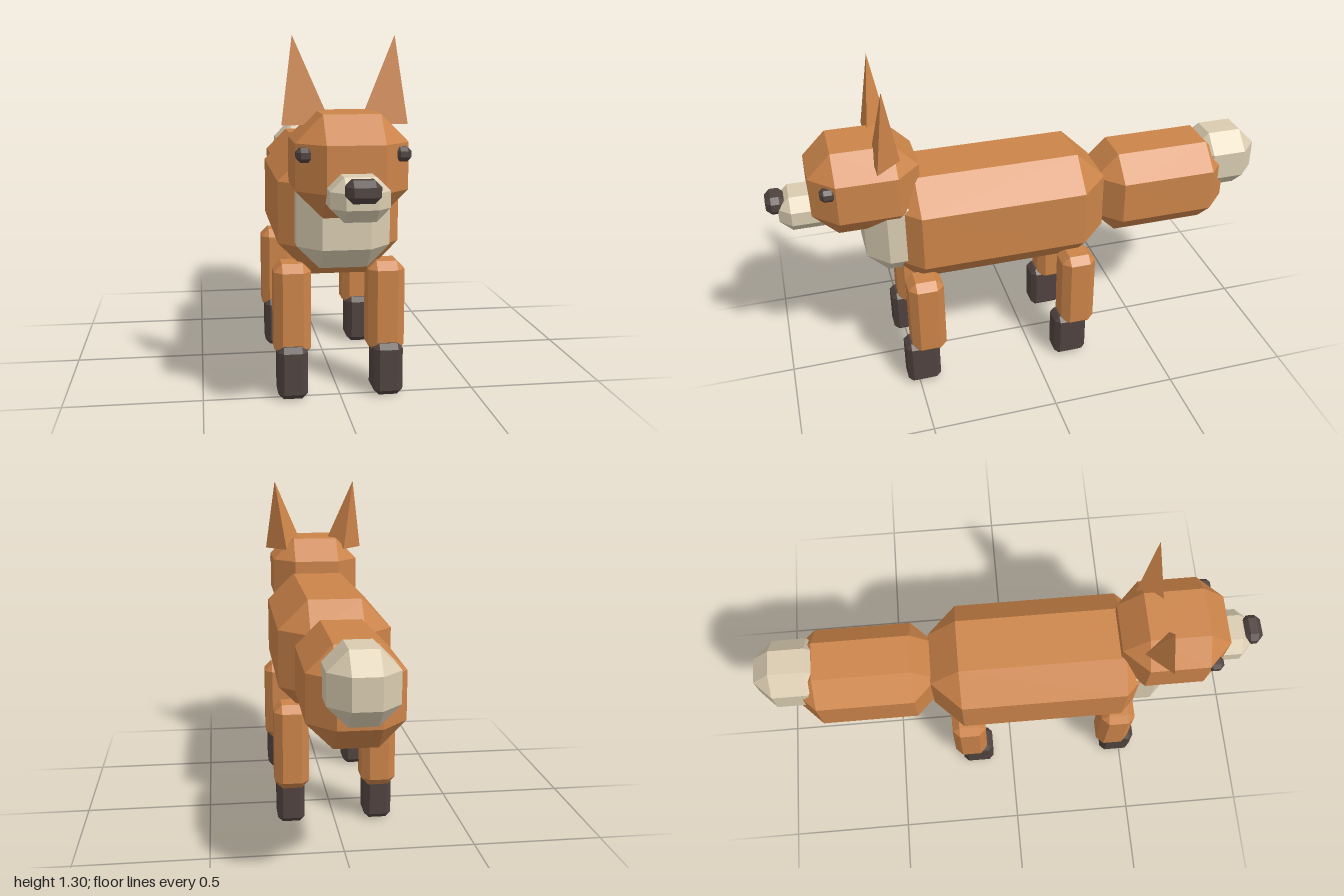
import * as THREE from 'three';
import { ConvexGeometry } from 'three/addons/geometries/ConvexGeometry.js';

const material = (name, color) => {
  const m = new THREE.MeshStandardMaterial({ color });
  m.name = name;
  return m;
};

// Box with every edge cut at 45 degrees, given by its extents [min, max] on each axis
function chamferBox([x0, x1], [y0, y1], [z0, z1], c) {
  const half = [(x1 - x0) / 2, (y1 - y0) / 2, (z1 - z0) / 2];
  const points = [];
  for (const sx of [-1, 1]) for (const sy of [-1, 1]) for (const sz of [-1, 1]) {
    for (let axis = 0; axis < 3; axis++) {
      const p = half.map((h, i) => (i === axis ? h : h - c));
      points.push(new THREE.Vector3(sx * p[0], sy * p[1], sz * p[2]));
    }
  }
  const geometry = new ConvexGeometry(points);
  geometry.translate((x0 + x1) / 2, (y0 + y1) / 2, (z0 + z1) / 2);
  return geometry;
}

export function createModel() {
  const group = new THREE.Group();
  const fur = material('orange fur', 0xcc8449);
  const cream = material('cream fur', 0xd9cbb0);
  const dark = material('dark brown', 0x50433f);

  const add = (name, geometry, mat) => {
    const mesh = new THREE.Mesh(geometry, mat);
    mesh.name = name;
    group.add(mesh);
  };
  const box = (name, mat, x, y, z, c) => add(name, chamferBox(x, y, z, c), mat);

  // Trunk and tail
  box('body', fur, [-0.22, 0.22], [0.447, 0.905], [-0.315, 0.565], 0.116);
  box('chest', cream, [-0.165, 0.165], [0.497, 0.885], [0.35, 0.652], 0.08);
  box('tail', fur, [-0.17, 0.17], [0.505, 0.863], [-0.86, -0.29], 0.093);
  box('tailTip', cream, [-0.12, 0.12], [0.633, 0.885], [-1, -0.72], 0.071);

  // Head
  box('head', fur, [-0.188, 0.188], [0.709, 1.05], [0.427, 0.84], 0.092);
  box('muzzle', cream, [-0.096, 0.096], [0.725, 0.868], [0.7, 0.958], 0.045);
  box('nose', dark, [-0.055, 0.055], [0.795, 0.868], [0.927, 1], 0.021);

  for (const [side, s] of [['left', 1], ['right', -1]]) {
    const span = (a, b) => (s > 0 ? [a, b] : [-b, -a]);

    box(side + 'Eye', dark, span(0.136, 0.188), [0.899, 0.947], [0.747, 0.805], 0.014);

    // Three-sided pointed ear with a flat front
    add(side + 'Ear', new ConvexGeometry([
      new THREE.Vector3(s * 0.218, 1.003, 0.597),
      new THREE.Vector3(s * 0.047, 1.003, 0.597),
      new THREE.Vector3(s * 0.13, 1.003, 0.5),
      new THREE.Vector3(s * 0.177, 1.305, 0.555),
    ]), fur);

    // Legs, with the feet set slightly forward
    for (const [end, z] of [['Front', 0.449], ['Back', -0.183]]) {
      box(side + end + 'Leg', fur, span(0.105, 0.24), [0.15, 0.495], [z - 0.07, z + 0.07], 0.03);
      box(side + end + 'Foot', dark, span(0.121, 0.229), [0, 0.195], [z - 0.039, z + 0.097], 0.02);
    }
  }
  return group;
}
